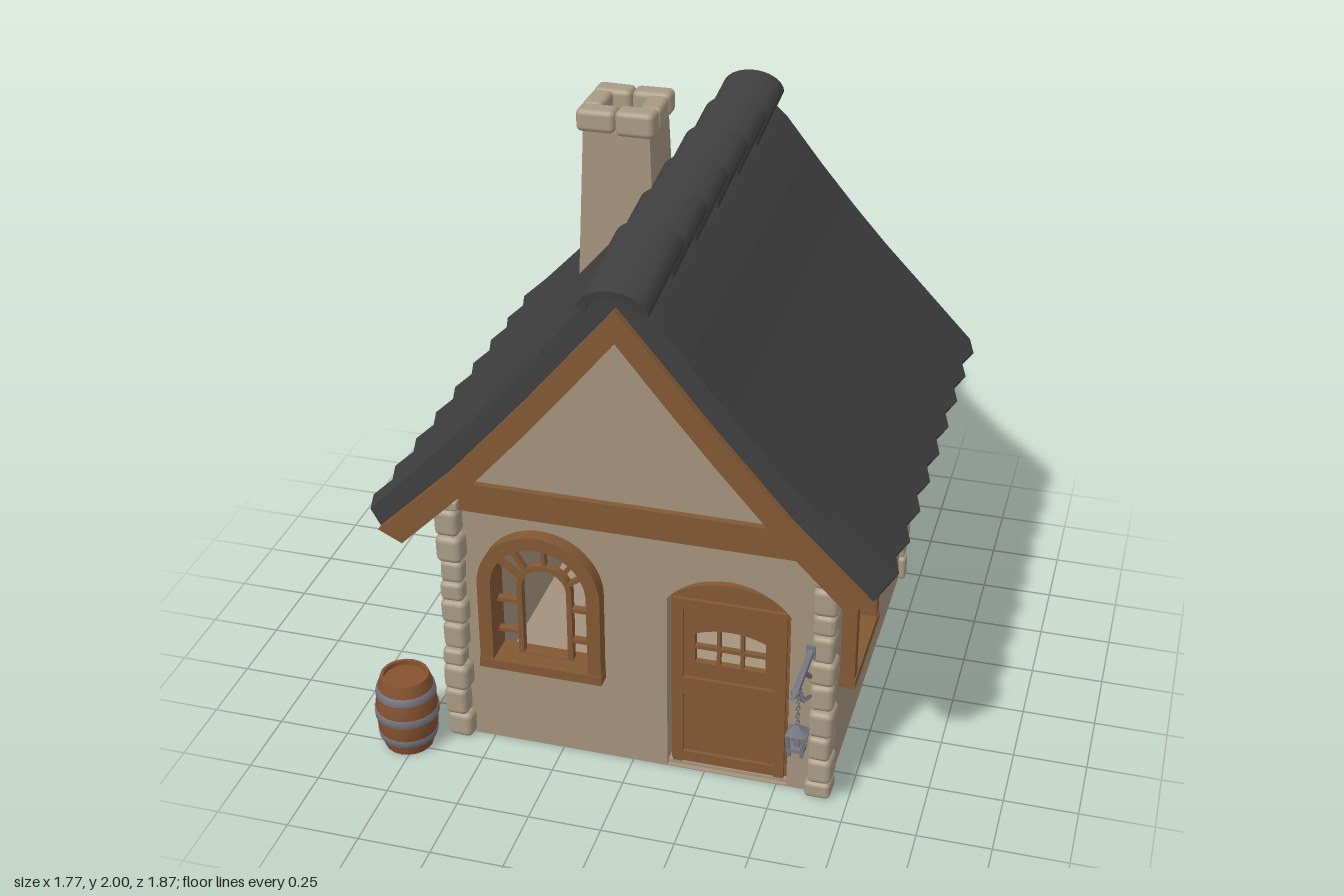
import * as THREE from 'three';
import { toCreasedNormals } from 'three/addons/utils/BufferGeometryUtils.js';
import { RoundedBoxGeometry } from 'three/addons/geometries/RoundedBoxGeometry.js';

const mat = (name, color, side = THREE.FrontSide) => {
  const m = new THREE.MeshStandardMaterial({ color, side });
  m.name = name;
  return m;
};

export function createModel() {
  const plaster = mat('plaster', 0xa4927d, THREE.DoubleSide);
  const wood = mat('wood', 0x825834);
  const slate = mat('slate', 0x3f3f3f);
  const stone = mat('stone', 0xa89a84);
  const metal = mat('metal', 0x777780);
  const barrelWood = mat('barrelWood', 0x855230);

  const house = new THREE.Group();
  house.name = 'cottage';
  let seed = 7;
  const jitter = (a) => {
    seed = (seed * 16807) % 2147483647;
    return (seed / 2147483647 - 0.5) * 2 * a;
  };
  const add = (parent, name, geo, material, x = 0, y = 0, z = 0) => {
    const mesh = new THREE.Mesh(geo, material);
    mesh.name = name;
    mesh.position.set(x, y, z);
    parent.add(mesh);
    return mesh;
  };
  const group = (parent, name, x = 0, y = 0, z = 0, ry = 0) => {
    const g = new THREE.Group();
    g.name = name;
    g.position.set(x, y, z);
    g.rotation.y = ry;
    parent.add(g);
    return g;
  };
  const box = (parent, name, m, w, h, d, x, y, z) =>
    add(parent, name, new THREE.BoxGeometry(w, h, d), m, x, y, z);
  const extrude = (shape, depth, steps = 1) =>
    new THREE.ExtrudeGeometry(shape, { depth, steps, bevelEnabled: false, curveSegments: 16 });
  // straight bar between two points
  const bar = (parent, name, m, a, b, w, d = w) => {
    const p = new THREE.Vector3(...a), q = new THREE.Vector3(...b);
    const mesh = box(parent, name, m, w, p.distanceTo(q), d, 0, 0, 0);
    mesh.position.copy(p).add(q).multiplyScalar(0.5);
    mesh.quaternion.setFromUnitVectors(new THREE.Vector3(0, 1, 0), q.sub(p).normalize());
    return mesh;
  };
  // arched outline: half width a, straight sides up to ys, arc rising by sag
  const arch = (cx, a, y0, ys, sag, Kind = THREE.Shape) => {
    const r = (a * a + sag * sag) / (2 * sag), cy = ys + sag - r;
    const t = Math.atan2(ys - cy, a);
    const s = new Kind();
    s.moveTo(cx - a, y0);
    s.lineTo(cx + a, y0);
    s.absarc(cx, cy, r, t, Math.PI - t, false);
    s.closePath();
    return s;
  };
  const archRing = (a, y0, ys, t, bottom = t) => {
    const s = arch(0, a, y0, ys, a);
    s.holes.push(arch(0, a - t, y0 + bottom, ys, a - t, THREE.Path));
    return s;
  };

  // arched window with an inner arch, glazing bars and spokes
  const addWindow = (parent, cx, a, h) => {
    const g = group(parent, 'window', cx, 0.33, 0);
    const ys = h - a, t = a * 0.22, inner = a - t, r = a * 0.45, b = 0.018;
    add(g, 'windowFrame', toCreasedNormals(extrude(archRing(a, 0, ys, t, 0.03), 0.115), 0.5), wood, 0, 0, -0.065);
    box(g, 'windowSill', wood, a * 2 + 0.004, 0.035, 0.12, 0, 0.0175, -0.006);
    add(g, 'innerArch', extrude(archRing(r, 0.02, ys - 0.03, b), 0.03), wood, 0, 0, -0.04);
    for (const ang of [0.12, 0.25, 0.5, 0.75, 0.88]) {
      const c = Math.cos(ang * Math.PI), s = Math.sin(ang * Math.PI);
      bar(g, 'spoke', wood, [c * (r - 0.01), ys - 0.03 + s * (r - 0.01), -0.025],
        [c * (inner + 0.01), ys + s * (inner + 0.01), -0.025], 0.014, 0.025);
    }
    for (const s of [-1, 1]) for (const f of [0.35, 0.72])
      box(g, 'glazingBar', wood, inner - r + 0.02, 0.014, 0.025, s * (inner + r) / 2, ys * f, -0.025);
  };

  // walls: outer face at local z = 0, 0.06 thick
  const wall = (name, pts, win, x, z, ry, extraHole) => {
    const g = group(house, name, x, 0, z, ry);
    const s = new THREE.Shape(pts.map((p) => new THREE.Vector2(...p)));
    const [cx, a, h] = win, inner = a * 0.85;
    s.holes.push(arch(cx, inner, 0.35, 0.33 + h - a, inner, THREE.Path));
    if (extraHole) s.holes.push(extraHole);
    add(g, name + 'Panel', extrude(s, 0.06), plaster, 0, 0, -0.06);
    addWindow(g, cx, a, h);
  };
  const gable = [[-0.655, 0], [0.665, 0], [0.665, 0.99], [0.31, 1.39], [0.01, 1.75], [-0.29, 1.39], [-0.655, 0.99]];
  const flip = gable.map(([x, y]) => [-x, y]).reverse();
  const rect = (l, r) => [[l, 0], [r, 0], [r, 0.99], [l, 0.99]];
  const big = [0.2125, 0.545], small = [0.137, 0.505];
  wall('frontWall', gable, [-0.307, ...big], 0, 0.62, 0, arch(0.3275, 0.2075, 0.004, 0.69, 0.1, THREE.Path));
  wall('backWall', flip, [0.305, ...small], 0, -0.732, Math.PI);
  wall('rightSideWall', rect(-0.61, 0.72), [-0.25, ...big], 0.672, 0, Math.PI / 2);
  wall('leftSideWall', rect(-0.72, 0.61), [-0.4, ...small], -0.665, 0, -Math.PI / 2);
  box(house, 'floor', plaster, 1.3, 0.015, 1.32, 0.002, 0.0085, -0.056);

  // tie beams across both gables
  for (const z of [0.605, -0.717])
    box(house, 'gableBeam', wood, 1.3, 0.105, 0.075, 0.008, 0.977, z);

  // roof: mirrored profiles extruded along z
  const mirrored = (outer, inner) => {
    const side = (pts) => [...pts.slice(1).map(([x, y]) => [-x, y]).reverse(), ...pts];
    return new THREE.Shape([...side(outer), ...side(inner).reverse()].map((p) => new THREE.Vector2(...p)));
  };
  const under = [[0, 1.81], [0.15, 1.63], [0.3, 1.45], [0.55, 1.165], [0.81, 0.91]];
  const soffit = [[0, 1.735], [0.15, 1.55], [0.3, 1.37], [0.55, 1.085], [0.75, 0.88]];
  const rafter = [[0, 1.7], [0.15, 1.515], [0.3, 1.335], [0.55, 1.05], [0.73, 0.87]];
  const top = [[0, 1.855], [0.06, 1.835], [0.13, 1.77], [0.26, 1.605], [0.39, 1.45], [0.51, 1.315], [0.63, 1.19], [0.87, 0.962]];
  const roofX = 0.013;
  add(house, 'roofSoffit', extrude(mirrored(under, soffit), 1.7), wood, roofX, 0, -0.92);
  // barge boards at the ends and rafters against the gable walls
  for (const [name, z, d] of [['bargeBoard', 0.73, 0.07], ['rafter', 0.55, 0.085], ['rafter', -0.752, 0.075], ['bargeBoard', -0.935, 0.07]])
    add(house, name, extrude(mirrored(under, rafter), d), wood, roofX, 0, z);
  const roofGeo = extrude(mirrored(top, under), 1.685, 18);
  const rp = roofGeo.attributes.position;
  // zigzag eaves: every second row is drawn in
  for (let i = 0; i < rp.count; i++) {
    const x = rp.getX(i), row = Math.round(rp.getZ(i) / 1.685 * 18);
    if (Math.abs(x) > 0.84 && row % 2 === 0) {
      rp.setX(i, x - Math.sign(x) * 0.028);
      rp.setY(i, rp.getY(i) + 0.006);
    }
  }
  roofGeo.computeVertexNormals();
  add(house, 'roofSlab', toCreasedNormals(roofGeo, 0.5), slate, roofX, 0, -0.91);

  // overlapping ridge tiles, higher at the back end
  const tile = new THREE.Shape();
  tile.absellipse(0, 0, 0.112, 0.075, 0, Math.PI, false);
  tile.absellipse(0, 0, 0.082, 0.045, Math.PI, 0, true);
  const tileGeo = toCreasedNormals(extrude(tile, 0.4), 0.6);
  for (let i = 0; i < 6; i++) {
    const t = add(house, 'ridgeTile', tileGeo, slate, roofX, 1.862, 0.42 - i * 0.2675);
    t.rotation.x = 0.13;
  }

  // rounded stones
  const addStone = (parent, w, h, d, x, y, z) => {
    const s = add(parent, 'stone', new RoundedBoxGeometry(w, h, d, 2, Math.min(w, h, d) * 0.25), stone, x, y, z);
    s.rotation.set(jitter(0.03), jitter(0.06), jitter(0.03));
  };
  for (const [x, z, w, d] of [[0.65, 0.61, 0.082, 0.1], [-0.617, 0.628, 0.085, 0.09],
    [-0.683, -0.708, 0.095, 0.1], [0.665, -0.728, 0.055, 0.055]]) {
    const g = group(house, 'cornerStones');
    let y = 0;
    while (y < 0.93) {
      const h = Math.min(0.085 + jitter(0.022), 0.965 - y);
      addStone(g, w + jitter(0.008), h, d + jitter(0.008), x + jitter(0.005), y + h / 2 + 0.002, z + jitter(0.005));
      y += h;
    }
  }

  // chimney: tapered shaft with a ring of cap stones
  const chimney = group(house, 'chimney', -0.305, 0, -0.39);
  const shaft = new THREE.BoxGeometry(0.28, 0.62, 0.28);
  const sp = shaft.attributes.position;
  for (let i = 0; i < sp.count; i++) if (sp.getY(i) > 0) {
    sp.setX(i, sp.getX(i) * 0.84);
    sp.setZ(i, sp.getZ(i) * 0.84);
  }
  shaft.computeVertexNormals();
  add(chimney, 'chimneyShaft', shaft, plaster, 0, 1.6, 0);
  box(chimney, 'flue', slate, 0.15, 0.008, 0.15, 0, 1.914, 0);
  for (const s of [-1, 1]) {
    for (const e of [-1, 1])
      addStone(chimney, 0.138, 0.088 + jitter(0.008), 0.078, e * 0.069, 1.95, s * 0.102);
    addStone(chimney, 0.075, 0.085, 0.13, s * 0.1, 1.947, 0);
  }

  // door
  const door = group(house, 'door', 0.3275, 0, 0.565);
  const leaf = arch(0, 0.2, 0.012, 0.69, 0.062);
  leaf.holes.push(arch(0, 0.12, 0.43, 0.545, 0.025, THREE.Path));
  add(door, 'doorLeaf', extrude(leaf, 0.025), wood);
  box(door, 'doorMullion', wood, 0.24, 0.012, 0.02, 0, 0.49, 0.013);
  for (const x of [-0.04, 0.04]) box(door, 'doorMullion', wood, 0.012, 0.14, 0.02, x, 0.495, 0.013);
  for (const s of [-1, 1]) box(door, 'doorStile', wood, 0.035, 0.67, 0.014, s * 0.175, 0.35, 0.031);
  for (const y of [0.04, 0.35, 0.665]) box(door, 'doorRail', wood, 0.315, 0.04, 0.014, 0, y, 0.031);
  bar(door, 'doorBrace', wood, [-0.155, 0.32, 0.029], [0.155, 0.07, 0.029], 0.03, 0.01);

  // barrel
  const barrel = group(house, 'barrel', -0.778, 0, 0.725);
  const radius = (y) => 0.107 - 0.024 * ((y - 0.1425) / 0.1425) ** 2;
  const lathe = (pts) => new THREE.LatheGeometry(pts.map((p) => new THREE.Vector2(...p)), 20);
  const stave = [[0, 0]];
  for (let i = 0; i <= 8; i++) stave.push([radius(i * 0.0356), i * 0.0356]);
  stave.push([0.072, 0.285], [0.072, 0.268], [0, 0.268]);
  add(barrel, 'barrelStaves', toCreasedNormals(lathe(stave), 0.6), barrelWood);
  for (const [a, b] of [[0.04, 0.067], [0.13, 0.158], [0.215, 0.242]])
    add(barrel, 'barrelHoop', lathe([[radius(a) - 0.004, a], [radius(a) + 0.004, a],
      [radius(b) + 0.004, b], [radius(b) - 0.004, b]]), metal);

  // hanging lantern on a wall bracket
  const lamp = group(house, 'lantern', 0.612, 0, 0);
  box(lamp, 'wallPlate', metal, 0.03, 0.05, 0.012, 0, 0.6, 0.662);
  bar(lamp, 'bracketArm', metal, [0, 0.603, 0.64], [0, 0.603, 0.9], 0.02);
  const tip = add(lamp, 'bracketTip', new THREE.ConeGeometry(0.016, 0.05, 6), metal, 0, 0.603, 0.912);
  tip.rotation.x = Math.PI / 2;
  bar(lamp, 'bracketBrace', metal, [0, 0.6, 0.77], [0, 0.5, 0.66], 0.012);
  const chain = (pts, n) => {
    const curve = new THREE.CatmullRomCurve3(pts.map((p) => new THREE.Vector3(...p)));
    for (let i = 0; i < n; i++) {
      const link = add(lamp, 'chainLink', new THREE.TorusGeometry(0.0075, 0.0025, 4, 8), metal);
      link.position.copy(curve.getPointAt(i / (n - 1)));
      link.rotation.y = i % 2 ? Math.PI / 2 : Math.PI / 4;
    }
  };
  chain([[0, 0.59, 0.84], [0, 0.45, 0.84]], 11);
  chain([[0, 0.59, 0.84], [0, 0.49, 0.77], [0, 0.42, 0.66]], 17);
  const roofCone = add(lamp, 'lanternRoof', new THREE.ConeGeometry(0.046, 0.035, 4), metal, 0, 0.428, 0.84);
  roofCone.rotation.y = Math.PI / 4;
  box(lamp, 'lanternBase', metal, 0.056, 0.012, 0.056, 0, 0.354, 0.84);
  box(lamp, 'lanternCandle', metal, 0.02, 0.04, 0.02, 0, 0.378, 0.84);
  for (const sx of [-1, 1]) for (const sz of [-1, 1])
    bar(lamp, 'lanternPost', metal, [sx * 0.02, 0.33, 0.84 + sz * 0.02], [sx * 0.028, 0.415, 0.84 + sz * 0.028], 0.011);

  return house;
}
